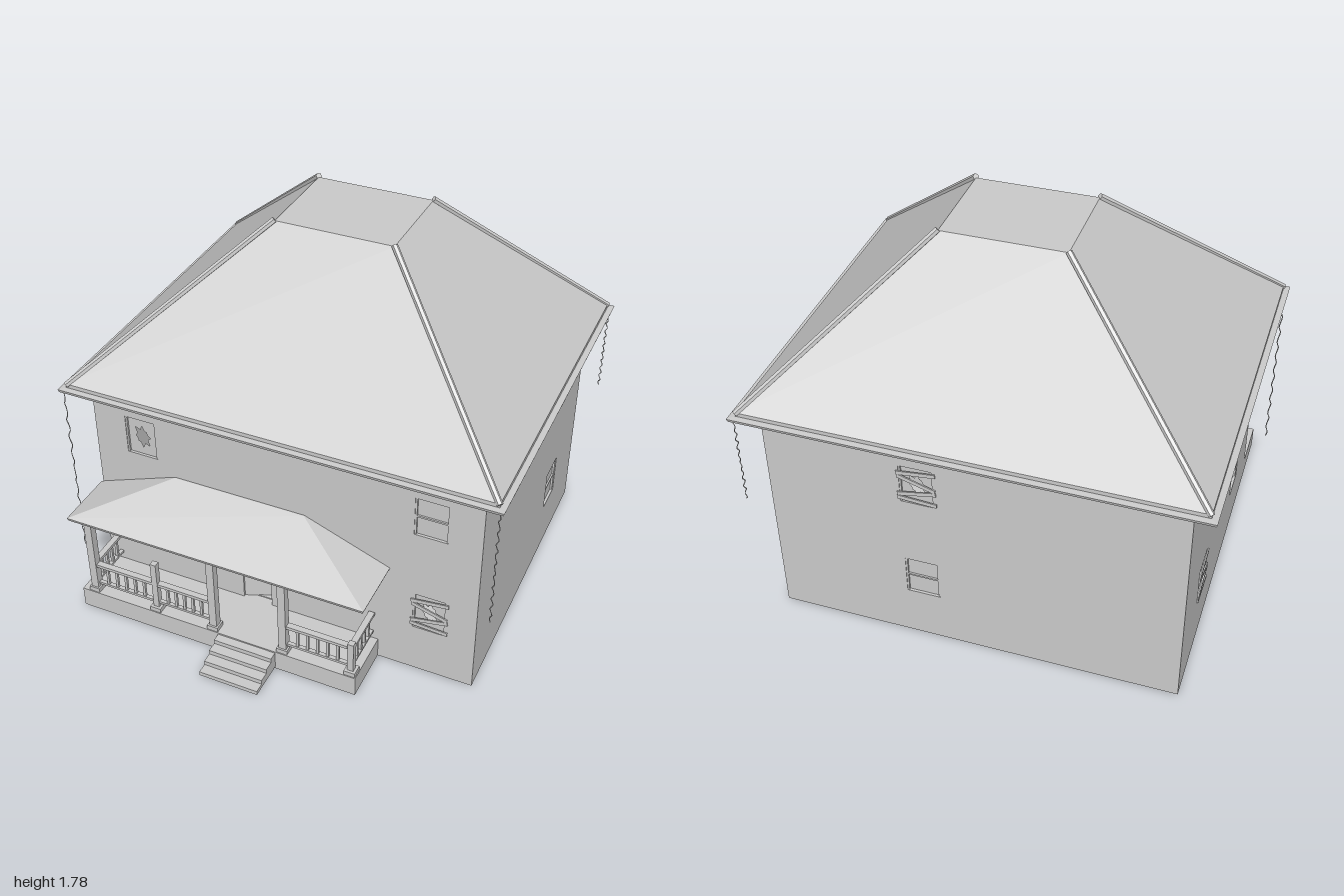
import * as THREE from 'three';

const mat = new THREE.MeshStandardMaterial({ color: 0xcccccc, flatShading: true, side: THREE.DoubleSide });

function add(parent, name, geo, x = 0, y = 0, z = 0) {
  const m = new THREE.Mesh(geo, mat);
  m.name = name;
  m.position.set(x, y, z);
  parent.add(m);
  return m;
}

// Box given by its two extreme corners
function box(parent, name, x0, x1, y0, y1, z0, z1) {
  return add(parent, name, new THREE.BoxGeometry(x1 - x0, y1 - y0, z1 - z0),
    (x0 + x1) / 2, (y0 + y1) / 2, (z0 + z1) / 2);
}

// Stack of rectangles [y, x0, x1, z0, z1], joined and capped
function loft(parent, name, rects) {
  const pos = [], idx = [];
  for (const [y, x0, x1, z0, z1] of rects) pos.push(x0, y, z1, x1, y, z1, x1, y, z0, x0, y, z0);
  for (let r = 0; r < rects.length - 1; r++) for (let i = 0; i < 4; i++) {
    const a = r * 4 + i, b = r * 4 + (i + 1) % 4;
    idx.push(a, b, b + 4, a, b + 4, a + 4);
  }
  const t = (rects.length - 1) * 4;
  idx.push(0, 2, 1, 0, 3, 2, t, t + 1, t + 2, t, t + 2, t + 3);
  const g = new THREE.BufferGeometry();
  g.setAttribute('position', new THREE.Float32BufferAttribute(pos, 3));
  g.setIndex(idx);
  const flat = g.toNonIndexed();
  flat.computeVertexNormals();
  return add(parent, name, flat);
}

// Round bar between two points
function bar(parent, name, a, b, r) {
  const d = b.clone().sub(a);
  const m = add(parent, name, new THREE.CylinderGeometry(r, r, d.length(), 6));
  m.position.copy(a).addScaledVector(d, 0.5);
  m.quaternion.setFromUnitVectors(new THREE.Vector3(0, 1, 0), d.normalize());
}

function rectPath(target, x0, x1, y0, y1) {
  return target.moveTo(x0, y0).lineTo(x1, y0).lineTo(x1, y1).lineTo(x0, y1).closePath();
}

const W = 0.075, H = 0.095; // half width and half height of a window

// Recessed sash window; style may be 'broken', 'boards' or both
function makeWindow(wall, u, y, style = '') {
  const g = new THREE.Group();
  g.name = 'window';
  g.position.set(u, y, 0);
  wall.add(g);
  const pane = rectPath(new THREE.Shape(), -W, W, -H, H);
  if (style.includes('broken')) {
    const hole = new THREE.Path();
    for (let i = 0; i < 16; i++) {
      const a = i / 16 * Math.PI * 2, r = i % 2 ? 0.03 : 0.045 + 0.012 * Math.sin(i * 2.3);
      hole[i ? 'lineTo' : 'moveTo'](Math.cos(a) * r * 0.85, Math.sin(a) * r * 1.15);
    }
    pane.holes.push(hole.closePath());
  }
  add(g, 'pane', new THREE.ShapeGeometry(pane), 0, 0, -0.012);
  if (!style.includes('broken')) box(g, 'sashBar', -W, W, -0.004, 0.004, -0.012, -0.004);
  for (const s of [-1, 1]) box(g, 'sashSide', s * (W - 0.004) - 0.004, s * (W - 0.004) + 0.004, -H, H, -0.012, -0.003);
  if (style.includes('boards')) {
    [[-0.075, -0.06], [-0.035, 0.2], [0.02, -0.3], [0.07, 0.12]].forEach(([by, tilt]) => {
      const b = box(g, 'board', -0.085, 0.085, by - 0.009, by + 0.009, 0, 0.006);
      b.rotation.z = tilt;
    });
  }
}

// Wall with openings, face on local z = 0
function makeWall(house, name, half, x, z, turn, windows, door) {
  const wall = new THREE.Group();
  wall.name = name;
  wall.position.set(x, 0, z);
  wall.rotation.y = turn;
  house.add(wall);
  const s = rectPath(new THREE.Shape(), -half, half, 0, 1.075);
  for (const [u, y] of windows) s.holes.push(rectPath(new THREE.Path(), u - W, u + W, y - H, y + H));
  if (door) s.holes.push(rectPath(new THREE.Path(), ...door));
  add(wall, name + 'Panel', new THREE.ExtrudeGeometry(s, { depth: 0.03, bevelEnabled: false }), 0, 0, -0.03);
  for (const w of windows) makeWindow(wall, ...w);
}

// Rail with balusters along a straight line in plan
function railing(parent, xa, za, xb, zb) {
  const g = new THREE.Group();
  g.name = 'railing';
  g.position.set(xa, 0, za);
  g.rotation.y = -Math.atan2(zb - za, xb - xa);
  parent.add(g);
  const len = Math.hypot(xb - xa, zb - za), n = Math.round(len / 0.045);
  box(g, 'topRail', 0, len, 0.245, 0.26, -0.014, 0.014);
  box(g, 'bottomRail', 0, len, 0.14, 0.152, -0.009, 0.009);
  for (let i = 1; i < n; i++) {
    const u = i * len / n;
    box(g, 'baluster', u - 0.006, u + 0.006, 0.15, 0.247, -0.006, 0.006);
  }
}

export function createModel() {
  const house = new THREE.Group();
  house.name = 'house';
  const hi = 0.86, lo = 0.34, q = Math.PI / 2, door = [-0.2, -0.06, 0.1, 0.44];

  // Walls
  makeWall(house, 'frontWall', 0.9, 0, 0.545, 0,
    [[-0.67, hi, 'broken'], [0.68, hi], [-0.67, lo, 'broken'], [0.69, lo, 'broken boards']], door);
  makeWall(house, 'backWall', 0.9, 0, -0.9, 2 * q, [[-0.23, hi, 'broken boards'], [-0.23, lo, '']]);
  makeWall(house, 'leftWall', 0.6925, 0.9, -0.1775, q,
    [[-0.36, hi, 'boards'], [0.345, hi, 'broken boards'], [0.345, lo]]);
  makeWall(house, 'rightWall', 0.6925, -0.9, -0.1775, -q,
    [[-0.35, hi, 'broken'], [-0.35, lo, 'boards'], [0.36, lo]]);

  // Door standing ajar
  const hinge = new THREE.Group();
  hinge.name = 'door';
  hinge.position.set(-0.2, 0, 0.535);
  hinge.rotation.y = 0.35;
  house.add(hinge);
  box(hinge, 'doorPanel', 0, 0.138, 0.1, 0.44, -0.012, 0);
  add(hinge, 'doorKnob', new THREE.SphereGeometry(0.007, 8, 6), 0.125, 0.26, 0.006);

  // Ground floor and inner partitions
  box(house, 'floor', -0.87, 0.87, 0.09, 0.105, -0.87, 0.515);
  const inner = (x0, x1, z0, z1) => box(house, 'partition', x0, x1, 0.085, 1.06, z0, z1);
  inner(0.16, 0.87, -0.12, -0.1);
  inner(-0.87, -0.39, -0.14, -0.12);
  inner(0.23, 0.25, -0.45, -0.1);
  inner(-0.4, -0.38, -0.54, -0.12);

  // Eaves with gutter, then the hipped roof with its flat top
  const ring = (y, d) => [y, -1 + d, 1 - d, -0.99 + d, 0.65 - d];
  loft(house, 'eaves', [ring(1.062, 0.02), ring(1.072, 0.015), ring(1.076, 0.004), ring(1.09, 0), ring(1.092, 0.02)]);
  loft(house, 'roof', [ring(1.088, 0.027), ring(1.11, 0.027), [1.765, -0.25, 0.285, -0.405, 0.035]]);
  for (const [x, z, tx, tz] of [[-0.972, 0.622, -0.25, 0.035], [0.972, 0.622, 0.285, 0.035],
    [0.972, -0.962, 0.285, -0.405], [-0.972, -0.962, -0.25, -0.405]]) {
    bar(house, 'hipCap', new THREE.Vector3(x, 1.105, z), new THREE.Vector3(tx, 1.77, tz), 0.014);
  }

  // Frayed strands hanging from the eaves
  for (const [x, z, end] of [[-0.98, 0.635, 0.21], [0.98, 0.635, 0.5], [0.98, -0.97, 0.65]]) {
    const pts = [];
    for (let i = 0; i <= 30; i++) {
      pts.push(new THREE.Vector3(x + 0.005 * Math.sin(i * 2.1), 1.07 + (end - 1.07) * i / 30, z + 0.003 * Math.sin(i * 1.7)));
    }
    add(house, 'hangingStrand', new THREE.TubeGeometry(new THREE.CatmullRomCurve3(pts), 90, 0.0025, 4));
  }

  // Porch deck and skirts
  const porch = new THREE.Group();
  porch.name = 'porch';
  house.add(porch);
  box(porch, 'deck', -0.9, 0.46, 0.085, 0.1, 0.545, 0.8);
  box(porch, 'frontSkirt', -0.9, 0.46, 0, 0.086, 0.785, 0.8);
  for (const x of [-0.9, 0.445]) box(porch, 'sideSkirt', x, x + 0.015, 0, 0.086, 0.545, 0.785);

  // Steps
  for (let i = 0; i < 4; i++) {
    box(porch, 'step', -0.2, 0.08, 0.01, 0.03 + i * 0.021, 0.79, 0.98 - i * 0.047);
  }

  // Posts, two of them snapped short
  for (const [x, top] of [[-0.84, 0.535], [-0.52, 0.37], [-0.23, 0.535], [0.11, 0.535], [0.43, 0.275]]) {
    const r = top < 0.5 ? 0.014 : 0.018;
    box(porch, 'post', x - r, x + r, 0.1, top, 0.77 - r, 0.77 + r);
    box(porch, 'postBase', x - 0.026, x + 0.026, 0.1, 0.122, 0.744, 0.796);
    if (top > 0.5) box(porch, 'postCap', x - 0.023, x + 0.023, 0.515, 0.53, 0.747, 0.793);
  }
  railing(porch, -0.82, 0.77, -0.535, 0.77);
  railing(porch, -0.505, 0.77, -0.25, 0.77);
  railing(porch, 0.13, 0.77, 0.415, 0.77);
  railing(porch, -0.84, 0.55, -0.84, 0.755);
  railing(porch, 0.43, 0.55, 0.43, 0.755);

  // Hipped porch roof leaning on the wall
  loft(porch, 'porchRoof', [[0.525, -0.905, 0.5, 0.545, 0.825], [0.54, -0.91, 0.505, 0.545, 0.83],
    [0.692, -0.515, 0.11, 0.545, 0.55]]);
  return house;
}
